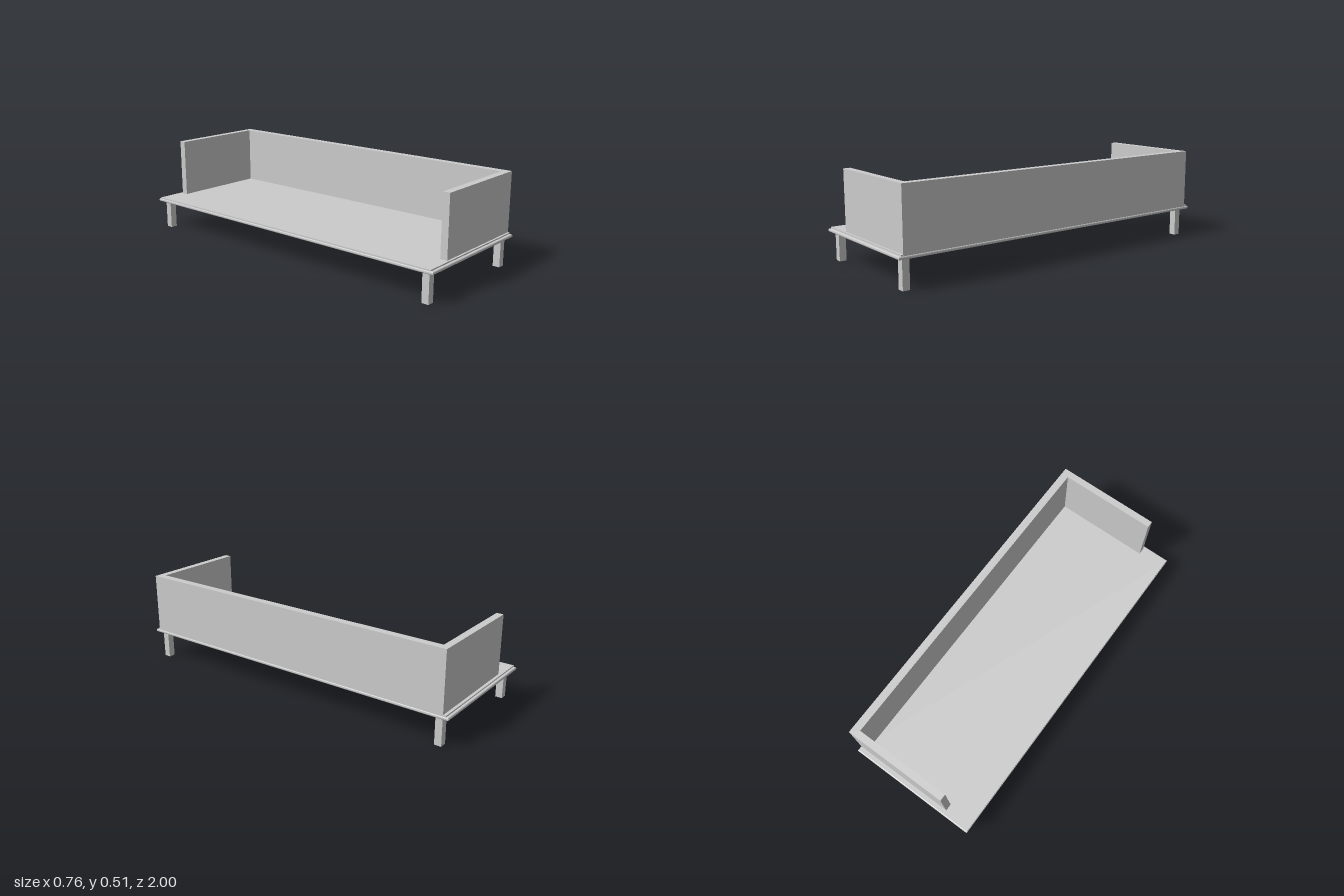
import * as THREE from 'three';

const material = new THREE.MeshStandardMaterial({ color: 0xcccccc, flatShading: true });

// Extrudes a plan outline of [x, z] points upward from y
function slab(name, outline, y, height, bevel = 0) {
  const shape = new THREE.Shape(outline.map(([x, z]) => new THREE.Vector2(x, -z)));
  const geometry = new THREE.ExtrudeGeometry(shape, {
    depth: height - 2 * bevel,
    bevelEnabled: bevel > 0,
    bevelThickness: bevel,
    bevelSize: bevel,
    bevelOffset: -bevel,
    bevelSegments: 4,
  });
  geometry.rotateX(-Math.PI / 2);
  const mesh = new THREE.Mesh(geometry, material);
  mesh.name = name;
  mesh.position.y = y + bevel;
  return mesh;
}

const rect = (x0, x1, z0, z1) => [[x0, z1], [x1, z1], [x1, z0], [x0, z0]];

export function createModel() {
  const group = new THREE.Group();
  group.name = 'daybed';

  // Platform: rounded rim with a thin deck on top
  group.add(slab('platformRim', rect(-0.38, 0.38, -1, 1), 0.157, 0.018, 0.007));
  group.add(slab('platformDeck', rect(-0.377, 0.376, -0.986, 0.986), 0.174, 0.008));

  // U-shaped back and arms
  group.add(slab('backAndArms', [
    [-0.22, 0.975], [0.377, 0.975], [0.377, -0.97], [-0.22, -0.97],
    [-0.22, -0.931], [0.334, -0.931], [0.334, 0.936], [-0.22, 0.936],
  ], 0.174, 0.339));

  // Square legs
  for (const x of [-0.341, 0.334]) {
    for (const z of [-0.938, 0.95]) {
      const leg = new THREE.Mesh(new THREE.BoxGeometry(0.039, 0.158, 0.039), material);
      leg.name = 'leg';
      leg.position.set(x, 0.079, z);
      group.add(leg);
    }
  }
  return group;
}
